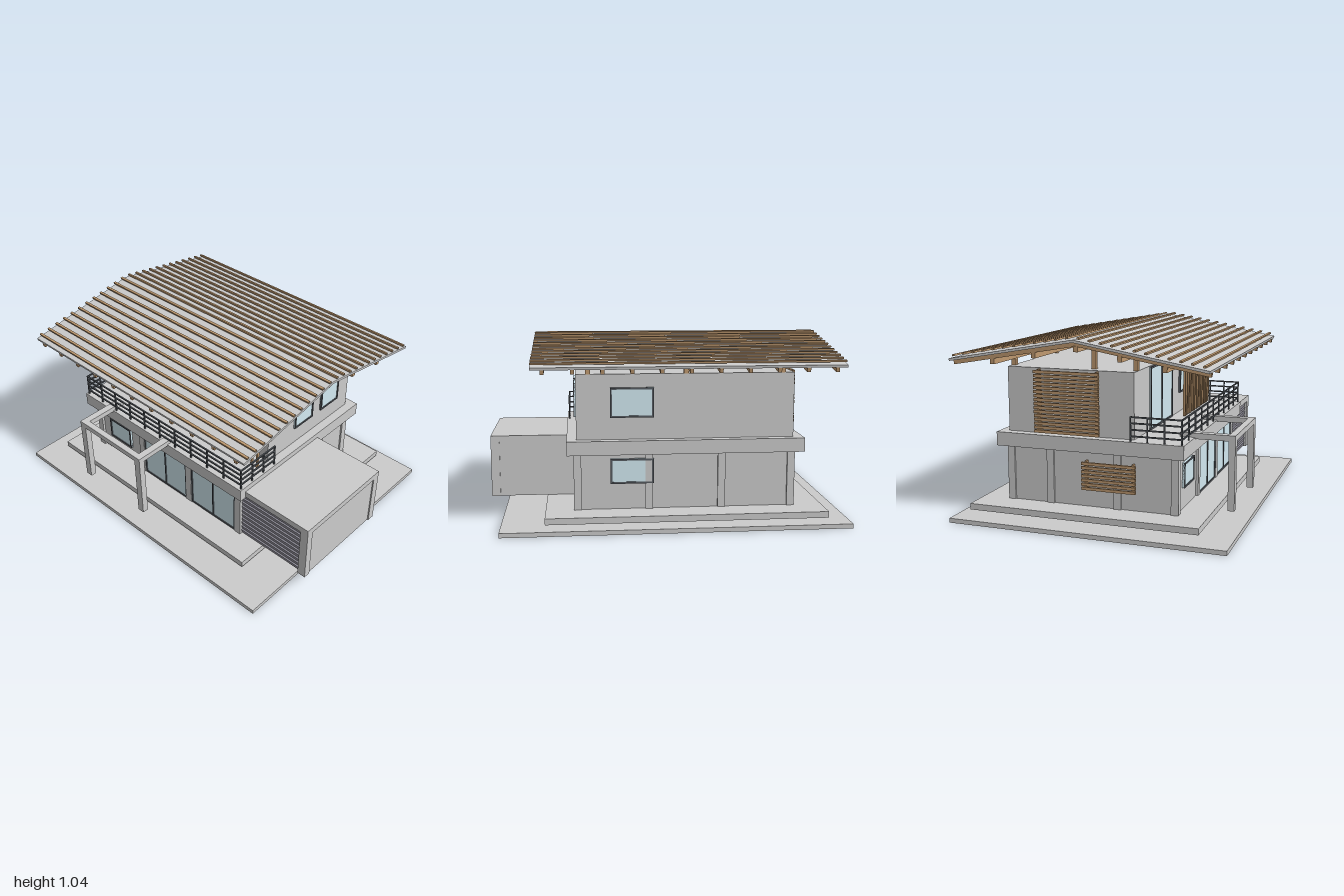
import * as THREE from 'three';

const mat = (color) => new THREE.MeshStandardMaterial({ color });
const GREY = mat(0xcccccc), WOOD = mat(0xc09a70), GLASS = mat(0xd3eaf2), DARK = mat(0x555a60), DOOR = mat(0x93919c);

// Box given by its low and high bounds on each axis
function box(parent, name, material, x0, x1, y0, y1, z0, z1) {
  const mesh = new THREE.Mesh(new THREE.BoxGeometry(x1 - x0, y1 - y0, z1 - z0), material);
  mesh.position.set((x0 + x1) / 2, (y0 + y1) / 2, (z0 + z1) / 2);
  mesh.name = name;
  parent.add(mesh);
  return mesh;
}

function part(parent, name) {
  const g = new THREE.Group();
  g.name = name;
  parent.add(g);
  return g;
}

// Framed window facing +z in its own space, with optional panes
function windowUnit(parent, name, w, h, panes, x, y, z, turn = 0) {
  const g = part(parent, name), t = 0.01, d = 0.008;
  box(g, 'glass', GLASS, -w / 2, w / 2, -h / 2, h / 2, -d, d * 0.4);
  for (const s of [-1, 1]) {
    const cx = s * (w - t) / 2, cy = s * (h - t) / 2;
    box(g, 'frameSide', DARK, cx - t / 2, cx + t / 2, -h / 2, h / 2, -d, d);
    box(g, 'frameRail', DARK, -w / 2, w / 2, cy - t / 2, cy + t / 2, -d, d);
  }
  for (let i = 1; i < panes; i++) {
    const cx = -w / 2 + w * i / panes;
    box(g, 'mullion', DARK, cx - 0.004, cx + 0.004, -h / 2, h / 2, -d, d);
  }
  g.position.set(x, y, z);
  g.rotation.y = turn;
}

export function createModel() {
  const house = new THREE.Group();
  house.name = 'house';

  // Ground slab and plinth
  box(house, 'groundSlab', GREY, -1, 0.915, 0, 0.025, -0.775, 0.778);
  box(house, 'plinth', GREY, -0.88, 0.675, 0.045, 0.08, -0.712, 0.6);

  // Storeys and the floor slab between them
  box(house, 'groundFloorWalls', GREY, -0.71, 0.508, 0.08, 0.4, -0.543, 0.43);
  box(house, 'floorSlab', GREY, -0.765, 0.555, 0.395, 0.473, -0.597, 0.485);
  box(house, 'upperFloorWalls', GREY, -0.71, 0.502, 0.473, 0.835, -0.545, 0.195);

  // Columns around the ground floor
  const columns = part(house, 'columns');
  const column = (x, z) => box(columns, 'column', GREY, x - 0.021, x + 0.021, 0.08, 0.396, z - 0.021, z + 0.021);
  for (const x of [-0.699, -0.305, 0.1, 0.497]) {
    column(x, 0.424);
    column(x, -0.534);
  }
  for (const z of [-0.295, 0.1]) {
    column(-0.699, z);
    column(0.497, z);
  }

  // Windows and glazed doors
  const windows = part(house, 'windows');
  windowUnit(windows, 'groundGlazing', 0.365, 0.315, 2, -0.103, 0.238, 0.434);
  windowUnit(windows, 'groundGlazing', 0.355, 0.315, 2, 0.298, 0.238, 0.434);
  windowUnit(windows, 'groundFrontWindow', 0.19, 0.14, 1, -0.505, 0.27, 0.438);
  windowUnit(windows, 'balconyDoor', 0.41, 0.355, 2, -0.255, 0.653, 0.198);
  windowUnit(windows, 'upperFrontWindow', 0.24, 0.175, 1, 0.225, 0.682, 0.2);
  windowUnit(windows, 'upperBackWindow', 0.24, 0.165, 1, 0.195, 0.678, -0.55, Math.PI);
  windowUnit(windows, 'groundBackWindow', 0.24, 0.14, 1, 0.195, 0.295, -0.55, Math.PI);
  for (const z of [-0.113, -0.355])
    windowUnit(windows, 'upperRightWindow', 0.165, 0.19, 1, 0.506, 0.678, z, Math.PI / 2);

  // Vertical timber screen on the balcony
  const screen = part(house, 'verticalScreen');
  for (let i = 0; i < 14; i++) {
    const x = -0.045 + i * 0.0415;
    box(screen, 'slat', WOOD, x - 0.006, x + 0.006, 0.48, 0.828, 0.27, 0.284);
  }

  // Horizontal timber screens on the left-hand wall in the front elevation
  const louvre = (name, y0, y1, z0, z1) => {
    const g = part(house, name), n = Math.round((y1 - y0) / 0.022);
    for (let i = 0; i < n; i++) {
      const y = y0 + (i + 0.5) * (y1 - y0) / n;
      box(g, 'slat', WOOD, -0.757, -0.744, y - 0.008, y + 0.008, z0, z1);
    }
    for (const z of [z0 + 0.02, z1 - 0.02])
      box(g, 'batten', WOOD, -0.745, -0.709, y0, y1, z - 0.005, z + 0.005);
  };
  louvre('upperSideScreen', 0.48, 0.83, -0.37, 0.01);
  louvre('lowerSideScreen', 0.18, 0.342, -0.095, 0.215);

  // Balcony railing
  const rail = part(house, 'balconyRailing'), r = 0.004;
  const L = -0.75, R = 0.543, F = 0.47, B = 0.187;
  const post = (x, z) => box(rail, 'post', DARK, x - r, x + r, 0.47, 0.608, z - r, z + r);
  for (let i = 0; i <= 10; i++) post(L + (R - L) * i / 10, F);
  for (const x of [L, R]) for (let i = 0; i < 3; i++) post(x, B + (F - B) * i / 3);
  for (const y of [0.605, 0.572, 0.537, 0.502]) {
    box(rail, 'bar', DARK, L - r, R + r, y - r, y + r, F - r, F + r);
    for (const x of [L, R]) box(rail, 'bar', DARK, x - r, x + r, y - r, y + r, B, F);
  }

  // Open porch frame
  const porch = part(house, 'porch');
  for (const x of [-0.548, -0.068]) {
    box(porch, 'porchPost', GREY, x, x + 0.043, 0.08, 0.465, 0.67, 0.707);
    box(porch, 'porchSideBeam', GREY, x, x + 0.043, 0.465, 0.497, 0.4, 0.67);
  }
  box(porch, 'porchFrontBeam', GREY, -0.548, -0.025, 0.465, 0.497, 0.67, 0.707);

  // Garage: open-bottomed shell with a slatted door
  const garage = part(house, 'garage');
  box(garage, 'garageRoof', GREY, 0.5, 1, 0.403, 0.44, -0.202, 0.445);
  box(garage, 'garageSideWall', GREY, 0.96, 0.993, 0.08, 0.403, -0.16, 0.405);
  box(garage, 'garageBackWall', GREY, 0.508, 0.96, 0.08, 0.403, -0.195, -0.165);
  for (const [z0, z1] of [[0.403, 0.445], [-0.202, -0.158]])
    box(garage, 'garagePier', GREY, 0.95, 1, 0.08, 0.403, z0, z1);
  box(garage, 'garageDoorPanel', DOOR, 0.515, 0.952, 0.08, 0.403, 0.412, 0.42);
  for (let i = 0; i < 10; i++) {
    const slat = box(garage, 'garageDoorSlat', DOOR, 0.52, 0.948, 0.085 + i * 0.0315, 0.112 + i * 0.0315, 0.42, 0.43);
    slat.rotation.x = 0.25;
  }

  // Roof: two pitched halves, each built in the plane of its slope from the ridge
  const roof = part(house, 'roof');
  const pitch = Math.atan2(0.125, 0.72), len = Math.hypot(0.125, 0.72);
  for (const side of [1, -1]) {
    const turn = part(roof, side > 0 ? 'frontSlope' : 'backSlope');
    turn.position.set(0, 1.022, -0.055);
    turn.rotation.x = side * pitch;
    const z = (a, b) => (side > 0 ? [a, b] : [-b, -a]);
    box(turn, 'roofSheet', GREY, -0.94, 0.735, -0.014, 0, ...z(0, len));
    for (let i = 0; i < 12; i++) {
      const c = 0.03 + i * 0.0608;
      box(turn, 'roofBatten', WOOD, -0.94, 0.735, 0.008, 0.018, ...z(c - 0.007, c + 0.007));
    }
    for (let i = 0; i < 11; i++) {
      const x = -0.885 + i * 0.1557;
      box(turn, 'rafter', WOOD, x - 0.01, x + 0.01, -0.038, -0.014, ...z(0, len));
    }
  }

  // Beams under the rafters, with short posts standing on the walls
  const frame = part(house, 'roofFrame');
  for (const z of [0.424, 0.185, -0.055, -0.295, -0.535]) {
    const top = 0.985 - Math.abs(z + 0.055) * 0.1736;
    box(frame, 'beam', WOOD, -0.9, 0.7, top - 0.03, top, z - 0.012, z + 0.012);
  }
  for (const x of [-0.645, -0.105, 0.435])
    for (const z of [0.185, -0.055, -0.535])
      box(frame, 'roofPost', WOOD, x - 0.013, x + 0.013, 0.835, 0.96 - Math.abs(z + 0.055) * 0.1736, z - 0.013, z + 0.013);

  return house;
}
